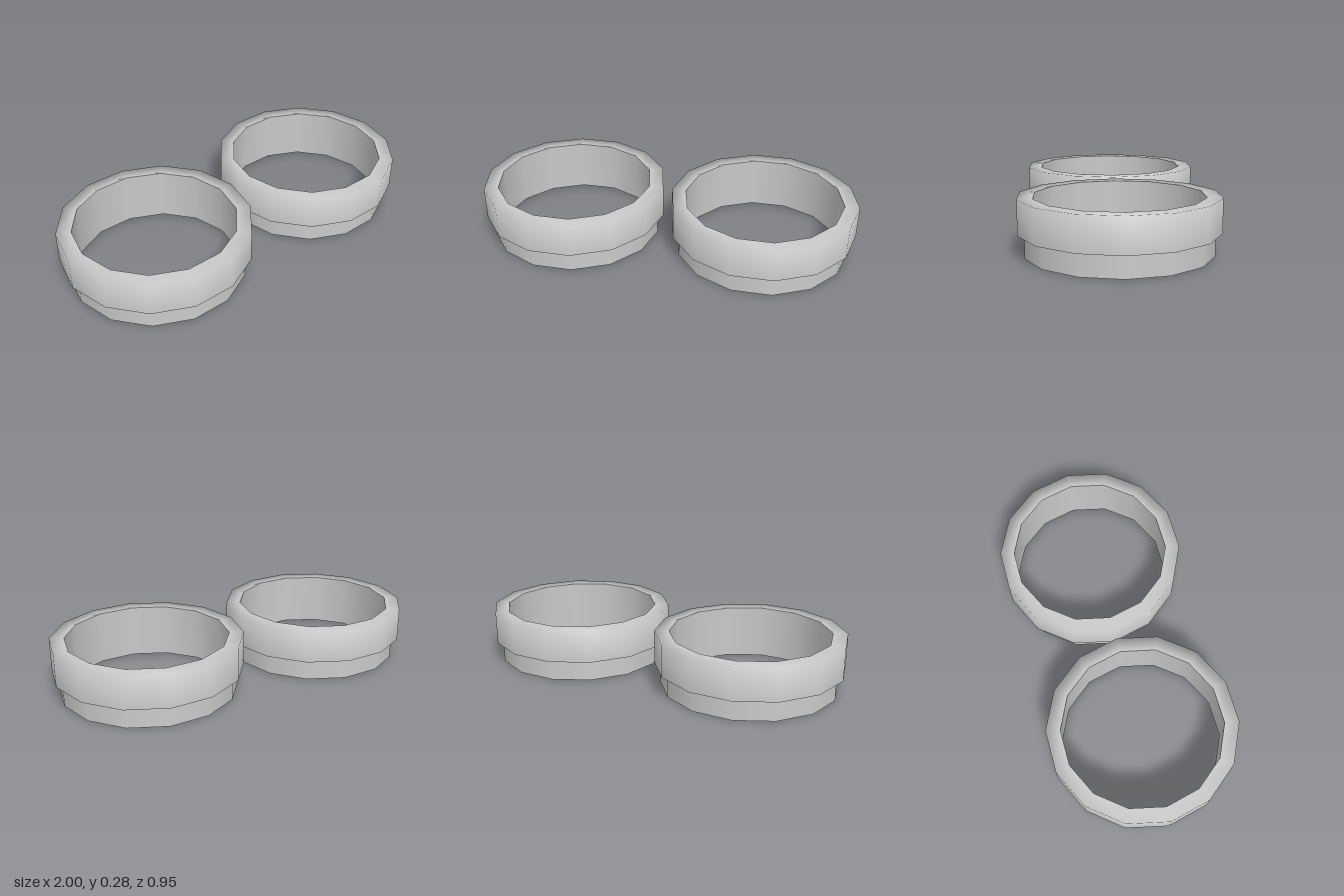
import * as THREE from 'three';

const SIDES = 14;
const OUTER = 0.488, BAND = 0.456, INNER = 0.413, INNER_LOW = 0.422;
const STEP = 0.11, TOP = 0.28;

const material = new THREE.MeshStandardMaterial({ color: 0xcccccc, side: THREE.DoubleSide });

// Revolves a [radius, height] profile with a corner on the x axis
function turned(name, profile) {
  const points = profile.map(([r, y]) => new THREE.Vector2(r, y));
  const mesh = new THREE.Mesh(new THREE.LatheGeometry(points, SIDES, Math.PI / 2), material);
  mesh.name = name;
  return mesh;
}

// One stepped ring; each piece ends where an edge is sharp
function makeRing(name, x) {
  const ring = new THREE.Group();
  ring.name = name;
  ring.add(
    turned('bottomLip', [[INNER_LOW, 0], [BAND, 0]]),
    turned('lowerBand', [[BAND, 0], [BAND, STEP]]),
    turned('stepUnderside', [[BAND, STEP], [OUTER, STEP]]),
    // outer wall blends softly into the flat rim
    turned('upperCollar', [[OUTER, STEP], [OUTER, TOP], [INNER, TOP]]),
    turned('innerWall', [[INNER, TOP], [INNER_LOW, 0]])
  );
  ring.position.x = x;
  return ring;
}

export function createModel() {
  const model = new THREE.Group();
  model.name = 'ringPair';
  model.add(makeRing('leftRing', 1 - OUTER), makeRing('rightRing', OUTER - 1));
  return model;
}
